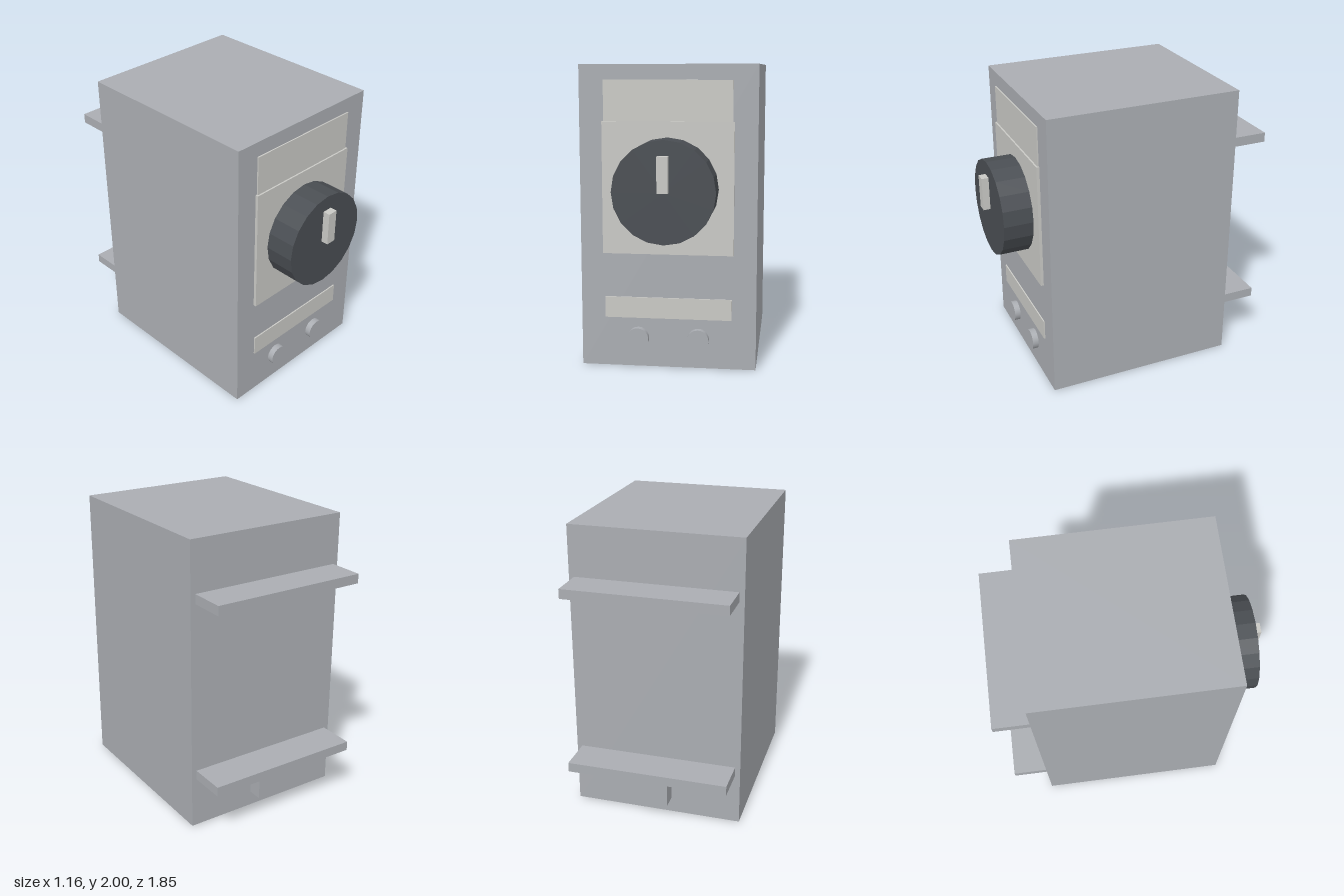
import * as THREE from 'three';

const mat = (name, color) => {
  const m = new THREE.MeshStandardMaterial({ color });
  m.name = name;
  return m;
};

export function createModel() {
  const model = new THREE.Group();
  model.name = 'dialControlUnit';

  const casing = mat('casingGrey', 0xaaadb2);
  const pale = mat('paleGrey', 0xc9c9c5);
  const dark = mat('darkGrey', 0x4a4e53);
  dark.flatShading = true;

  // Box given by its min and max on each axis
  const box = (name, material, [x0, x1], [y0, y1], [z0, z1]) => {
    const mesh = new THREE.Mesh(new THREE.BoxGeometry(x1 - x0, y1 - y0, z1 - z0), material);
    mesh.position.set((x0 + x1) / 2, (y0 + y1) / 2, (z0 + z1) / 2);
    mesh.name = name;
    model.add(mesh);
  };

  // Disc whose axis points to the front
  const disc = (name, material, radius, sides, x, y, z0, z1) => {
    const geo = new THREE.CylinderGeometry(radius, radius, z1 - z0, sides).rotateX(Math.PI / 2);
    const mesh = new THREE.Mesh(geo, material);
    mesh.position.set(x, y, (z0 + z1) / 2);
    mesh.name = name;
    model.add(mesh);
  };

  const front = 0.655, back = -0.675;

  // Casing
  box('casing', casing, [-0.58, 0.58], [0.003, 2], [back, front]);

  // Front plates
  box('upperLabel', pale, [-0.42, 0.42], [1.62, 1.9], [front, 0.664]);
  box('dialPlate', pale, [-0.43, 0.43], [0.77, 1.635], [front, 0.675]);
  box('lowerLabel', pale, [-0.42, 0.42], [0.335, 0.475], [front, 0.664]);

  // Dial and its pointer
  disc('dial', dark, 0.332, 20, 0, 1.203, 0.675, 0.877);
  box('dialPointer', pale, [-0.035, 0.035], [1.205, 1.435], [0.877, 0.925]);

  // Front buttons and the slots under them
  for (const [side, s] of [['left', 1], ['right', -1]]) {
    disc(side + 'Button', casing, 0.072, 20, s * 0.2, 0.2, front, 0.697);
    box(side + 'BottomSlot', dark, [s * 0.2 - 0.062, s * 0.2 + 0.062], [0, 0.003], [0.29, 0.585]);
  }

  // Rear rails and the block below the lower one
  box('upperRail', casing, [-0.545, 0.545], [1.588, 1.653], [-0.925, back]);
  box('lowerRail', casing, [-0.545, 0.545], [0.355, 0.42], [-0.925, back]);
  box('rearBlock', casing, [-0.1, 0.1], [0.105, 0.355], [-0.775, back]);

  return model;
}
